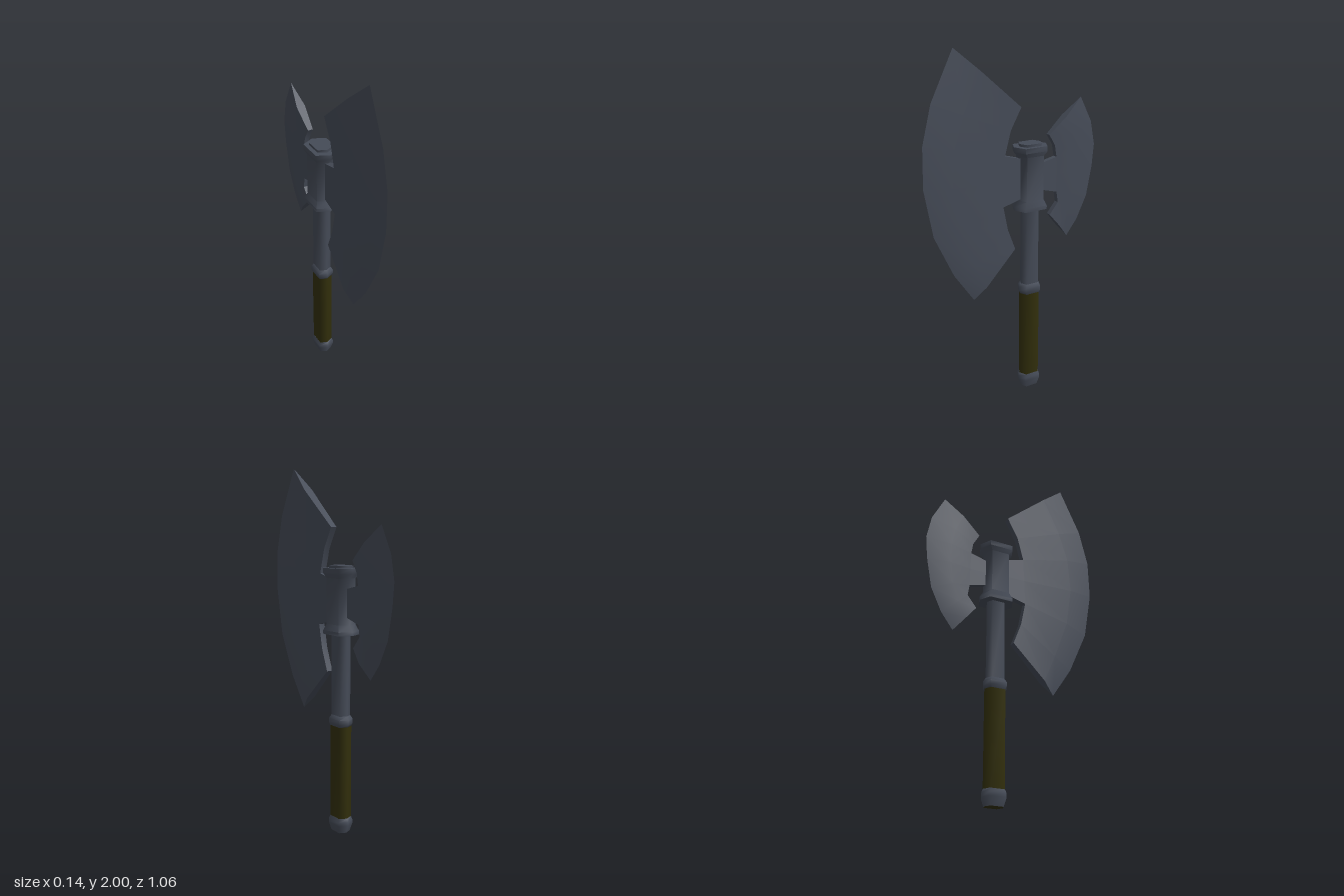
import * as THREE from 'three';
import { toCreasedNormals } from 'three/addons/utils/BufferGeometryUtils.js';

const AXIS_Z = -0.1;

// Collects quads and triangles, then gives them creased smooth normals
function buildGeometry(triangles, crease) {
  const geometry = new THREE.BufferGeometry();
  geometry.setAttribute('position', new THREE.Float32BufferAttribute(triangles.flat(2), 3));
  return toCreasedNormals(geometry, crease);
}
const quad = (a, b, c, d) => [[a, b, c], [a, c, d]];

// Six-sided column lofted through levels of [y, half width, half depth]
const HEX = [[0, 1], [1, 0.68], [1, -0.68], [0, -1], [-1, -0.68], [-1, 0.68]];
function hexColumn(levels, capBottom = true) {
  const rings = levels.map(([y, w, d]) => HEX.map(([x, z]) => [x * w, y, AXIS_Z + z * d]));
  const tris = [];
  for (let r = 0; r < rings.length - 1; r++) {
    for (let i = 0; i < 6; i++) {
      const j = (i + 1) % 6;
      tris.push(...quad(rings[r][i], rings[r][j], rings[r + 1][j], rings[r + 1][i]));
    }
  }
  const top = rings[rings.length - 1], bottom = rings[0];
  for (let i = 1; i < 5; i++) {
    tris.push([top[0], top[i], top[i + 1]]);
    if (capBottom) tris.push([bottom[0], bottom[i + 1], bottom[i]]);
  }
  return buildGeometry(tris, 1.2);
}

// Blade lofted through rows of [z, y] points, each row with its own half thickness.
// Rows run from the cutting edge inwards, points from top to bottom; dir is the side it faces.
function bladeGeometry(rows, dir) {
  const tris = [];
  const add = (a, b, c, d) => tris.push(...(dir > 0 ? quad(a, b, c, d) : quad(d, c, b, a)));
  const point = (r, i, side) => [side * rows[r].half, rows[r].points[i][1], rows[r].points[i][0]];
  const lastRow = rows.length - 1, last = rows[0].points.length - 1;
  for (let r = 0; r < lastRow; r++) {
    for (let i = 0; i < last; i++) {
      add(point(r, i, 1), point(r, i + 1, 1), point(r + 1, i + 1, 1), point(r + 1, i, 1));
      add(point(r + 1, i, -1), point(r + 1, i + 1, -1), point(r, i + 1, -1), point(r, i, -1));
    }
    // top and bottom walls
    add(point(r, 0, -1), point(r, 0, 1), point(r + 1, 0, 1), point(r + 1, 0, -1));
    add(point(r, last, 1), point(r, last, -1), point(r + 1, last, -1), point(r + 1, last, 1));
  }
  // inner wall
  for (let i = 0; i < last; i++) {
    add(point(lastRow, i, 1), point(lastRow, i + 1, 1), point(lastRow, i + 1, -1), point(lastRow, i, -1));
  }
  return buildGeometry(tris, 0.6);
}

export function createModel() {
  const model = new THREE.Group();
  model.name = 'battleAxe';
  const steel = new THREE.MeshStandardMaterial({ color: 0x454b57 });
  const leather = new THREE.MeshStandardMaterial({ color: 0x33300c });
  steel.name = 'dark steel';
  leather.name = 'olive leather';

  const add = (name, geometry, material) => {
    const mesh = new THREE.Mesh(geometry, material);
    mesh.name = name;
    model.add(mesh);
  };

  // Handle, from the pommel upwards
  add('pommel', hexColumn([[0, 0.037, 0.053], [0.045, 0.047, 0.069], [0.065, 0.047, 0.069], [0.085, 0.042, 0.06]], false), steel);
  add('grip', hexColumn([[0.001, 0.036, 0.052], [0.04, 0.041, 0.06], [0.615, 0.041, 0.06]]), leather);
  add('gripRing', hexColumn([[0.605, 0.041, 0.06], [0.62, 0.046, 0.068], [0.645, 0.046, 0.068], [0.665, 0.036, 0.054]]), steel);
  add('shaft', hexColumn([[0.62, 0.036, 0.054], [1.14, 0.036, 0.054]]), steel);

  // Socket that holds the blades
  add('socket', hexColumn([
    [1.11, 0.069, 0.1], [1.13, 0.069, 0.1], [1.165, 0.057, 0.077],
    [1.41, 0.057, 0.077], [1.435, 0.069, 0.1], [1.463, 0.069, 0.1],
  ]), steel);
  add('socketCap', hexColumn([[1.45, 0.046, 0.066], [1.477, 0.046, 0.066]]), steel);

  // Large front blade and its neck
  add('frontBlade', bladeGeometry([
    { half: 0, points: [[0.347, 2], [0.475, 1.74], [0.528, 1.533], [0.533, 1.31], [0.485, 1.045], [0.374, 0.806], [0.257, 0.636]] },
    { half: 0.026, points: [[0.207, 1.881], [0.31, 1.67], [0.365, 1.5], [0.38, 1.3], [0.345, 1.08], [0.26, 0.86], [0.19, 0.704]] },
    { half: 0.018, points: [[-0.034, 1.676], [0.03, 1.56], [0.066, 1.427], [0.072, 1.29], [0.077, 1.146], [0.05, 1.013], [0.003, 0.891]] },
  ], 1), steel);
  add('frontNeck', bladeGeometry([
    { half: 0.018, points: [[0.066, 1.427], [0.072, 1.29], [0.077, 1.146]] },
    { half: 0.0155, points: [[-0.06, 1.392], [-0.06, 1.29], [-0.06, 1.181]] },
  ], 1), steel);

  // Small rear blade and its neck
  add('rearBlade', bladeGeometry([
    { half: 0, points: [[-0.427, 1.692], [-0.501, 1.549], [-0.528, 1.416], [-0.517, 1.289], [-0.485, 1.119], [-0.422, 0.987], [-0.353, 0.897]] },
    { half: 0.024, points: [[-0.32, 1.6], [-0.365, 1.5], [-0.385, 1.4], [-0.385, 1.285], [-0.37, 1.16], [-0.335, 1.06], [-0.285, 0.978]] },
    { half: 0.015, points: [[-0.215, 1.507], [-0.252, 1.443], [-0.263, 1.379], [-0.266, 1.28], [-0.268, 1.178], [-0.278, 1.115], [-0.225, 1.05]] },
  ], -1), steel);
  add('rearNeck', bladeGeometry([
    { half: 0.015, points: [[-0.263, 1.379], [-0.266, 1.28], [-0.268, 1.178]] },
    { half: 0.014, points: [[-0.15, 1.353], [-0.15, 1.28], [-0.15, 1.21]] },
  ], -1), steel);

  return model;
}
